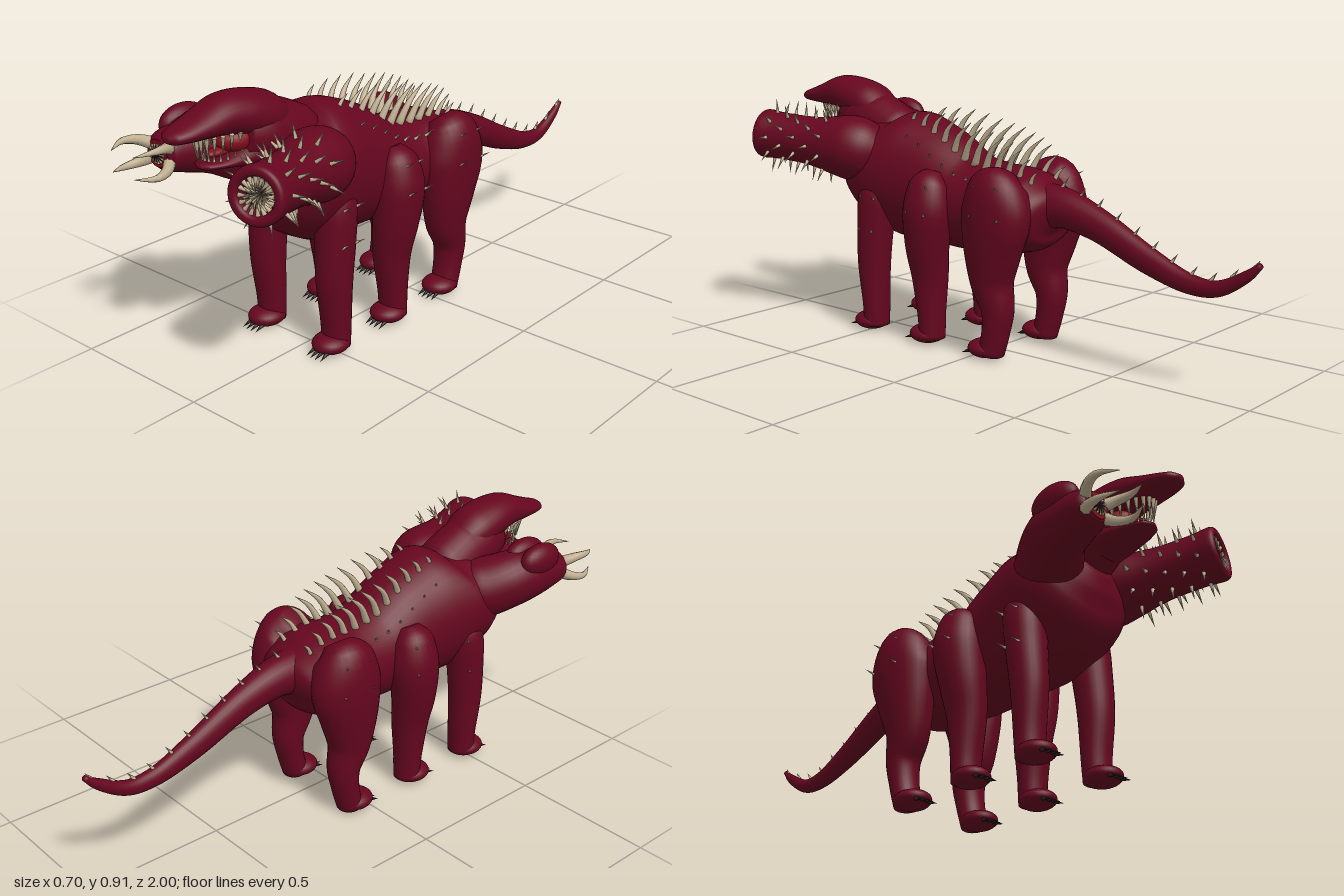
import * as THREE from 'three';
import { mergeGeometries } from 'three/addons/utils/BufferGeometryUtils.js';

const CX = -0.045; // mid-line of the trunk
const V = (x, y, z) => new THREE.Vector3(x, y, z);

// Smooth limb: elliptical rings along rows of [x, y, z, halfWidth, halfHeight]
function limb(rows, steps = 32, sides = 28) {
  const path = new THREE.CatmullRomCurve3(rows.map(r => V(r[0], r[1], r[2])));
  const size = new THREE.CatmullRomCurve3(rows.map(r => V(r[3], r[4], 0)));
  const chord = path.getPoint(1).sub(path.getPoint(0)).normalize();
  const ref = Math.abs(chord.x) > 0.85 ? V(0, 0, 1) : V(1, 0, 0);
  const pos = [], idx = [];
  for (let i = 0; i <= steps; i++) {
    const p = path.getPoint(i / steps), q = size.getPoint(i / steps), t = path.getTangent(i / steps);
    const s = ref.clone().addScaledVector(t, -ref.dot(t)).normalize();
    const u = t.clone().cross(s);
    for (let j = 0; j < sides; j++) {
      const a = j / sides * Math.PI * 2;
      const v = p.clone().addScaledVector(s, Math.cos(a) * q.x).addScaledVector(u, Math.sin(a) * q.y);
      pos.push(v.x, v.y, v.z);
      if (i < steps) {
        const k = (j + 1) % sides, A = i * sides + j, B = i * sides + k;
        idx.push(A, B, A + sides, B, B + sides, A + sides);
      }
    }
  }
  // closed ends
  const first = pos.length / 3, last = first + 1, o = steps * sides;
  pos.push(...path.getPoint(0).toArray(), ...path.getPoint(1).toArray());
  for (let j = 0; j < sides; j++) {
    const k = (j + 1) % sides;
    idx.push(first, k, j, last, o + j, o + k);
  }
  const g = new THREE.BufferGeometry();
  g.setAttribute('position', new THREE.Float32BufferAttribute(pos, 3));
  g.setIndex(idx);
  g.computeVertexNormals();
  return g;
}

// Straight spike from a base point along a direction
function spike(base, dir, len, r) {
  const d = dir.clone().normalize();
  const g = new THREE.ConeGeometry(r, len, 7).translate(0, len / 2, 0);
  g.applyQuaternion(new THREE.Quaternion().setFromUnitVectors(V(0, 1, 0), d));
  return g.translate(base.x, base.y, base.z);
}

// Curved horn tapering to a point
function horn(points, r) {
  const n = points.length - 1;
  return limb(points.map((p, i) => {
    const w = r * Math.max(0.04, Math.pow(1 - i / n, 0.6));
    return [p.x, p.y, p.z, w, w];
  }), 8, 8);
}

// Linear lookup of a row at depth z
function rowAt(rows, z) {
  for (let i = 0; i < rows.length - 1; i++) {
    const a = rows[i], b = rows[i + 1], t = (z - a[2]) / (b[2] - a[2]);
    if (t >= 0 && t <= 1) return a.map((v, k) => v + (b[k] - v) * t);
  }
  return rows[rows.length - 1];
}

export function createModel() {
  const model = new THREE.Group();
  model.name = 'threeHeadedBeast';
  const mat = (name, color) => Object.assign(new THREE.MeshStandardMaterial({ color }), { name });
  const hide = mat('crimson hide', 0x66061f);
  const bone = mat('bone', 0xbfae90);
  const claw = mat('dark claw', 0x2c2220);
  const flesh = mat('mouth flesh', 0x860c1c);
  const dark = mat('dark throat', 0x1c0508);
  dark.side = THREE.DoubleSide;
  const add = (name, geo, material) => {
    const m = new THREE.Mesh(Array.isArray(geo) ? mergeGeometries(geo) : geo, material);
    m.name = name;
    model.add(m);
    return m;
  };
  const ball = (x, y, z, a, b, c) => new THREE.SphereGeometry(1, 24, 16).scale(a, b, c).translate(x, y, z);

  // Trunk with broad hips and a deep chest, and the tail
  const trunk = [[-0.24, 0.49, 0.04, 0.04], [-0.215, 0.495, 0.13, 0.09], [-0.16, 0.495, 0.185, 0.13],
    [-0.08, 0.495, 0.2, 0.148], [0.03, 0.495, 0.168, 0.158], [0.15, 0.503, 0.17, 0.175], [0.3, 0.545, 0.185, 0.215],
    [0.42, 0.572, 0.205, 0.232], [0.51, 0.598, 0.217, 0.205], [0.58, 0.635, 0.2, 0.155], [0.62, 0.655, 0.15, 0.11],
    [0.65, 0.67, 0.06, 0.05]].map(([z, y, a, b]) => [CX, y, z, a, b]);
  add('trunk', limb(trunk, 60, 40), hide);
  const tail = [[-0.13, 0.51, 0.08, 0.1], [-0.25, 0.525, 0.064, 0.07], [-0.4, 0.485, 0.047, 0.056],
    [-0.6, 0.395, 0.034, 0.045], [-0.75, 0.345, 0.026, 0.033], [-0.85, 0.345, 0.022, 0.026],
    [-0.95, 0.4, 0.016, 0.018], [-0.995, 0.44, 0.009, 0.009]].map(([z, y, a, b]) => [CX, y, z, a, b]);
  add('tail', limb(tail, 48, 24), hide);

  // Six legs: rows of [offset, y, z, halfWidth, halfDepth], mirrored about the mid-line
  const legs = {
    frontLeg: [[0.12, 0.57, 0.46, 0.04, 0.04], [0.145, 0.5, 0.472, 0.068, 0.07], [0.15, 0.38, 0.482, 0.066, 0.066],
      [0.15, 0.25, 0.49, 0.06, 0.06], [0.148, 0.1, 0.485, 0.053, 0.047], [0.148, 0.02, 0.485, 0.05, 0.043]],
    middleLeg: [[0.14, 0.615, 0.2, 0.03, 0.035], [0.16, 0.57, 0.2, 0.07, 0.075], [0.172, 0.48, 0.2, 0.083, 0.09],
      [0.165, 0.36, 0.21, 0.075, 0.08], [0.15, 0.25, 0.212, 0.064, 0.067], [0.148, 0.1, 0.207, 0.053, 0.047],
      [0.148, 0.02, 0.205, 0.05, 0.043]],
    rearLeg: [[0.11, 0.635, -0.09, 0.045, 0.05], [0.14, 0.595, -0.092, 0.09, 0.105], [0.155, 0.5, -0.095, 0.09, 0.133],
      [0.155, 0.38, -0.08, 0.08, 0.11], [0.15, 0.27, -0.075, 0.068, 0.08], [0.148, 0.18, -0.098, 0.058, 0.057],
      [0.148, 0.1, -0.09, 0.052, 0.047], [0.148, 0.02, -0.07, 0.05, 0.043]],
  };
  const thorns = [];
  for (const [name, rows] of Object.entries(legs)) {
    for (const side of [-1, 1]) {
      add(name, limb(rows.map(([d, ...r]) => [CX + side * d, ...r])), hide);
      const fx = CX + side * 0.148, fz = rows[rows.length - 1][2];
      const toes = [ball(fx, 0.034, fz + 0.024, 0.061, 0.033, 0.066)], claws = [];
      for (let i = -1.5; i <= 1.5; i++) {
        const x = fx + i * 0.018, z = fz + 0.078 - Math.abs(i) * 0.005;
        claws.push(spike(V(x, 0.022, z), V(i * 0.06, -0.35, 1), 0.04, 0.008));
      }
      add('foot', toes, hide);
      add('claws', claws, claw);
      // thorns on the outer thigh
      for (const k of [1, 2]) {
        const [d, y, z, a, b] = rows[k];
        for (const f of [-0.5, 0.4]) {
          thorns.push(spike(V(CX + side * (d + a * 0.84), y, z + f * b), V(side, 0.6, -0.7), 0.036, 0.005));
        }
      }
    }
  }

  // Two rows of dorsal spines with smaller flank thorns
  const spines = [];
  const onBack = (z, off) => {
    const [, y, , a, b] = rowAt(trunk, z);
    return V(CX + off, y + b * Math.sqrt(Math.max(0, 1 - (off / a) ** 2)) - 0.008, z);
  };
  for (const side of [-1, 1]) {
    for (let i = 0; i < 12; i++) {
      const t = i / 11, p = onBack(0.37 - 0.54 * t, side * 0.065);
      const l = 0.05 + 0.08 * Math.sin(Math.PI * t);
      spines.push(horn([p, p.clone().add(V(side * 0.1 * l, 0.55 * l, -0.3 * l)),
        p.clone().add(V(side * 0.16 * l, 0.98 * l, -0.8 * l))], 0.005 + l * 0.075));
    }
    for (let i = 0; i < 8; i++) {
      thorns.push(spike(onBack(0.34 - 0.055 * i, side * 0.125), V(side * 0.7, 0.8, -0.6), 0.038, 0.006));
    }
  }
  add('backSpines', spines, bone);
  add('thorns', thorns, bone);
  const tailSpines = [];
  for (let i = 0; i < 11; i++) {
    const z = -0.25 - 0.072 * i, r = rowAt(tail, z);
    tailSpines.push(spike(V(CX, r[1] + r[4] - 0.006, z), V(0, 1, -0.75), 0.052 - i * 0.0015, 0.007));
  }
  add('tailSpines', tailSpines, bone);

  // Middle head: neck, overhanging snout, lower jaw, mouth and teeth
  const mid = rows => limb(rows.map(([z, y, a, b]) => [CX, y, z, a, b]));
  add('middleNeck', mid([[0.42, 0.65, 0.07, 0.07], [0.52, 0.695, 0.11, 0.12], [0.6, 0.735, 0.107, 0.118],
    [0.67, 0.765, 0.102, 0.105], [0.74, 0.775, 0.08, 0.075]]), hide);
  add('snout', mid([[0.56, 0.78, 0.07, 0.05], [0.65, 0.815, 0.093, 0.075], [0.72, 0.837, 0.091, 0.07],
    [0.79, 0.847, 0.08, 0.062], [0.87, 0.837, 0.069, 0.043], [0.94, 0.828, 0.056, 0.028], [0.98, 0.824, 0.04, 0.02],
    [0.998, 0.823, 0.014, 0.009]]), hide);
  add('lowerJaw', mid([[0.62, 0.72, 0.088, 0.075], [0.73, 0.715, 0.078, 0.042], [0.82, 0.71, 0.058, 0.018],
    [0.87, 0.71, 0.035, 0.012], [0.885, 0.71, 0.01, 0.005]]), hide);
  add('mouthLining', ball(CX, 0.765, 0.74, 0.062, 0.045, 0.075), flesh);
  add('tongue', ball(CX, 0.738, 0.8, 0.024, 0.014, 0.06), flesh);
  const teeth = [];
  for (let i = 0; i <= 12; i++) {
    const a = Math.PI * i / 12, c = Math.cos(a), s = Math.sin(a);
    teeth.push(spike(V(CX + c * 0.058, 0.8, 0.77 + s * 0.12), V(-c * 0.25, -1, -0.1), 0.05 + 0.032 * s, 0.0075));
    teeth.push(spike(V(CX + c * 0.05, 0.718, 0.76 + s * 0.1), V(0, 1, 0), 0.034, 0.005));
  }
  add('middleTeeth', teeth, bone);

  // Left head: spiked neck with a round, toothed mouth, built along +y then aimed
  const left = new THREE.Group();
  left.name = 'spikedHead';
  const base = V(0.095, 0.66, 0.5);
  left.position.copy(base);
  left.quaternion.setFromUnitVectors(V(0, 1, 0), V(0.237, 0.706, 0.935).sub(base).normalize());
  model.add(left);
  const lathe = pts => new THREE.LatheGeometry(new THREE.SplineCurve(
    pts.map(p => new THREE.Vector2(...p))).getPoints(48), 36);
  left.add(add('spikedNeck', lathe([[0.04, -0.06], [0.098, 0], [0.117, 0.07], [0.108, 0.14], [0.094, 0.21], [0.087, 0.28],
    [0.086, 0.38], [0.09, 0.435], [0.084, 0.453], [0.07, 0.456], [0.058, 0.447], [0.05, 0.41]]), hide));
  left.add(add('spikedThroat', lathe([[0.053, 0.425], [0.045, 0.385], [0.0, 0.37]]), dark));
  const ring = [], barbs = [];
  for (let row = 0; row < 3; row++) {
    for (let i = 0; i < 16; i++) {
      const a = (i + row * 0.5) / 16 * Math.PI * 2, r = 0.056 - row * 0.005;
      ring.push(spike(V(Math.cos(a) * r, 0.442 - row * 0.02, Math.sin(a) * r),
        V(-Math.cos(a), 0.12, -Math.sin(a)), 0.042, 0.0075));
    }
  }
  for (let row = 0; row < 5; row++) {
    const y = 0.17 + row * 0.056, r = [0.1, 0.09, 0.084, 0.083, 0.083][row];
    for (let i = 0; i < 9; i++) {
      const a = (i + (row % 2) * 0.5 + row * 0.13) / 9 * Math.PI * 2;
      barbs.push(spike(V(Math.cos(a) * r, y, Math.sin(a) * r), V(Math.cos(a), 0.05, Math.sin(a)), 0.055, 0.007));
    }
  }
  left.add(add('ringTeeth', ring, bone), add('neckSpikes', barbs, bone));

  // Right head: knobbed brow, four curved tusks around a small round mouth
  const hx = -0.268, hy = 0.69;
  add('tuskedNeck', limb([[-0.1, 0.64, 0.47, 0.07, 0.08], [-0.17, 0.645, 0.56, 0.108, 0.108],
    [-0.24, 0.68, 0.66, 0.097, 0.1], [-0.262, 0.69, 0.76, 0.082, 0.084], [hx, hy, 0.835, 0.068, 0.062],
    [hx, hy, 0.853, 0.05, 0.045]]), hide);
  const disc = (r, z) => new THREE.CylinderGeometry(r, r, 0.008, 28).rotateX(Math.PI / 2).translate(hx, hy, z);
  add('tuskedLips', disc(0.044, 0.853), flesh);
  add('tuskedMouth', disc(0.026, 0.856), dark);
  const tusks = [], smallTeeth = [], browKnobs = [ball(hx, 0.745, 0.72, 0.05, 0.042, 0.085)];
  for (const sx of [-1, 1]) {
    browKnobs.push(ball(hx + sx * 0.036, 0.752, 0.72, 0.043, 0.058, 0.09));
    for (const sy of [-1, 1]) {
      tusks.push(horn([[0.034, 0.018, 0.835], [0.064, 0.036, 0.875], [0.076, 0.042, 0.925], [0.05, 0.034, 0.985]]
        .map(([x, y, z]) => V(hx + sx * x, hy + sy * y, z)), 0.021));
    }
  }
  for (let i = 0; i < 14; i++) {
    const a = i / 14 * Math.PI * 2, c = Math.cos(a), s = Math.sin(a);
    smallTeeth.push(spike(V(hx + c * 0.032, hy + s * 0.032, 0.858), V(-c, -s, 0.25), 0.022, 0.004));
  }
  add('browKnobs', browKnobs, hide);
  add('tusks', tusks, bone);
  add('smallTeeth', smallTeeth, bone);
  return model;
}
